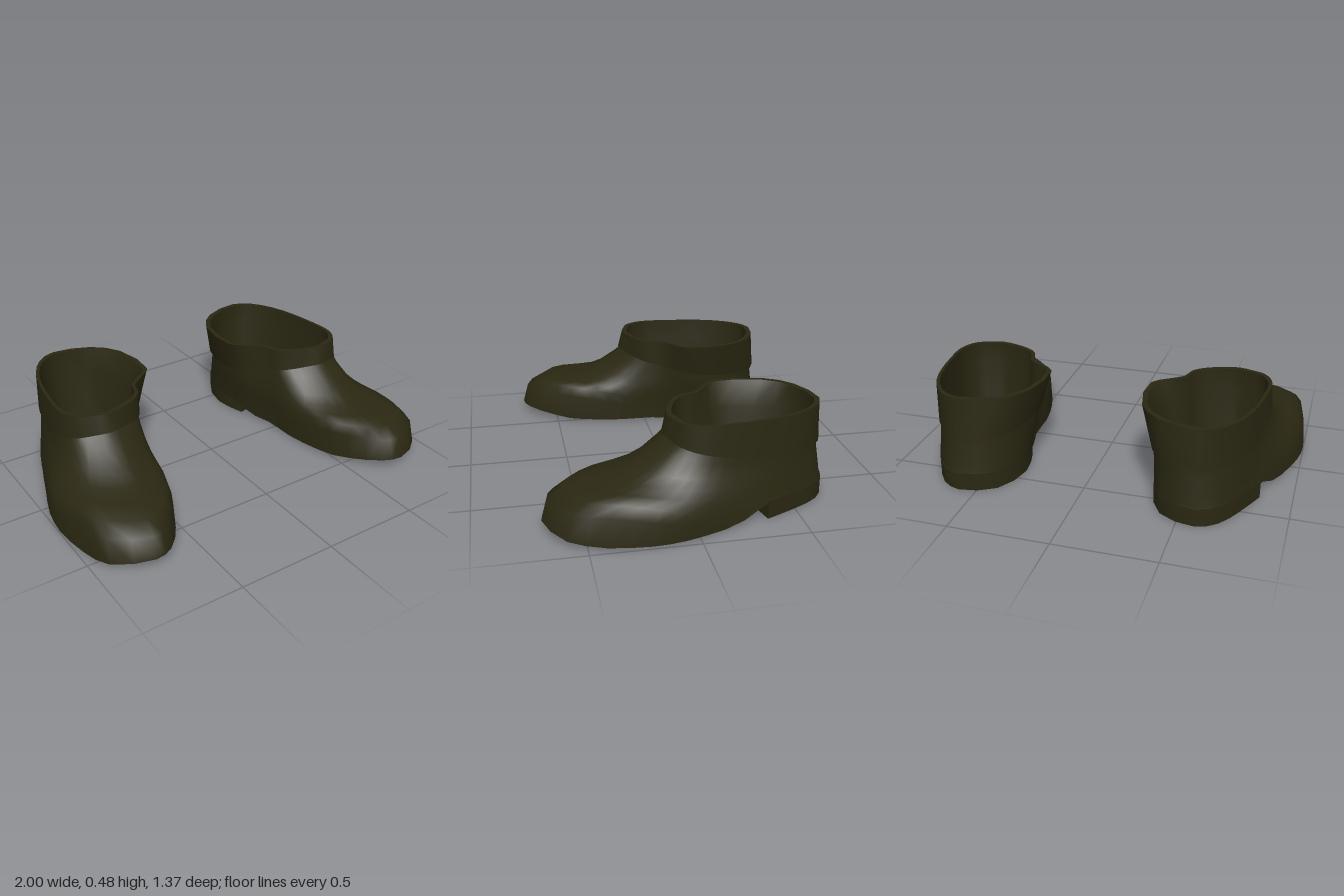
import * as THREE from 'three';
import { toCreasedNormals } from 'three/addons/utils/BufferGeometryUtils.js';

const N = 36; // points per ring: back -> outer side -> toe -> inner side
const CENTRE = [0.59, -0.28];

// Plan outlines as [x, z], all with matching point order
const SOLE = [[.59, -.685], [.69, -.63], [.77, -.5], [.85, -.32], [.92, -.12], [.98, .06],
  [1, .22], [.975, .42], [.93, .585], [.745, .685], [.65, .65], [.54, .51],
  [.47, .34], [.43, .14], [.425, -.04], [.37, -.24], [.335, -.42], [.41, -.62]];
const CUFF_LOW = [[.59, -.665], [.69, -.6], [.77, -.48], [.81, -.34], [.835, -.2], [.845, -.08],
  [.83, 0], [.79, .06], [.73, .09], [.65, .12], [.56, .09], [.48, .05],
  [.43, 0], [.41, -.06], [.37, -.13], [.305, -.22], [.31, -.42], [.41, -.62]];
const CUFF_TOP = [[.59, -.655], [.69, -.6], [.765, -.48], [.805, -.34], [.825, -.2], [.835, -.08],
  [.82, -.01], [.78, .05], [.72, .075], [.65, .095], [.56, .075], [.48, .04],
  [.425, -.01], [.4, -.09], [.33, -.145], [.26, -.21], [.28, -.47], [.39, -.6]];

const smooth = THREE.MathUtils.smoothstep;
const lerp = THREE.MathUtils.lerp;

// Smooth closed outline, optionally scaled about the ankle centre
function outline(points, scale = 1) {
  const curve = new THREE.CatmullRomCurve3(points.map(([x, z]) => new THREE.Vector3(
    CENTRE[0] + (x - CENTRE[0]) * scale, 0, CENTRE[1] + (z - CENTRE[1]) * scale)), true);
  return Array.from({ length: N }, (_, i) => curve.getPoint(i / N));
}

// Give an outline its heights, from a number or a rule
const raise = (ring, y) => ring.map(p =>
  new THREE.Vector3(p.x, typeof y === 'number' ? y : y(p.z), p.z));

function build(points, triangles, side) {
  const geo = new THREE.BufferGeometry();
  geo.setAttribute('position', new THREE.Float32BufferAttribute(
    points.flatMap(p => [p.x * side, p.y, p.z]), 3));
  geo.setIndex(triangles.flatMap(([a, b, c]) => (side > 0 ? [a, b, c] : [a, c, b])));
  geo.computeVertexNormals();
  return geo;
}

// Skin between successive rings
function loft(rings, side) {
  const triangles = [];
  for (let k = 0; k < rings.length - 1; k++) {
    for (let j = 0; j < N; j++) {
      const a = k * N + j, b = k * N + (j + 1) % N;
      triangles.push([a, a + N, b], [b, a + N, b + N]);
    }
  }
  return build(rings.flat(), triangles, side);
}

// Close a ring with strips running across it
function cap(ring, side, up) {
  const triangles = [];
  for (let i = 0; i < N / 2; i++) {
    const p = i, p2 = i + 1, q = (N - i) % N, q2 = N - i - 1;
    if (q !== p) triangles.push(up ? [q, q2, p] : [q, p, q2]);
    if (q2 !== p2) triangles.push(up ? [p, q2, p2] : [p, p2, q2]);
  }
  return build(ring, triangles, side);
}

// Underside height: raised arch and heel seat, flat forepart, toe spring
const soleY = z => 0.012 + 0.063 * (1 - smooth(z, -0.33, -0.16))
  + 0.038 * Math.max(0, (z - 0.42) / 0.265);
// Lower edge of the cuff climbs towards the front
const cuffY = z => 0.28 + 0.11 * Math.max(0, (z + 0.66) / 0.78) ** 2;

function createBoot(side, material) {
  const boot = new THREE.Group();
  const add = (name, geo) => {
    const mesh = new THREE.Mesh(geo, material);
    mesh.name = name;
    boot.add(mesh);
  };
  const sole = outline(SOLE);
  const collar = outline(CUFF_LOW, 0.95);
  const cuffLow = raise(outline(CUFF_LOW), cuffY);
  const cuffTop = raise(outline(CUFF_TOP), 0.48);

  // Upper: the sole outline shrinks to the collar, low over the toe, steep at the heel
  const shrink = [0.05, 0.18, 0.38, 0.55, 0.72, 0.9, 1];
  const toeY = [0.155, 0.2, 0.215, 0.232, 0.268, 0.34, 0.39];
  const heelY = [0.05, 0.1, 0.15, 0.19, 0.23, 0.28, 0.4];
  const base = raise(sole, soleY);
  const upper = shrink.map((f, k) => sole.map((p, i) => new THREE.Vector3(
    lerp(p.x, collar[i].x, f),
    Math.max(lerp(heelY[k], toeY[k], smooth(p.z, -0.3, 0.55)), base[i].y + 0.01),
    lerp(p.z, collar[i].z, f))));
  add('upper', loft([base, ...upper], side));
  add('sole', cap(base, side, false));

  // Heel block with a slanted front face
  const behind = p => p.z < -0.235 - (p.x - 0.36) * 0.234;
  const inner = [], outer = [];
  sole.forEach((p, i) => { if (behind(p)) (i > N / 2 ? inner : outer).push(p); });
  const shape = new THREE.Shape([
    new THREE.Vector2(side * 0.372, -0.238),
    ...[...inner, ...outer].map(p => new THREE.Vector2(side * p.x, p.z)),
    new THREE.Vector2(side * 0.842, -0.345)]);
  const heel = new THREE.ExtrudeGeometry(shape, { depth: 0.09, bevelEnabled: false });
  heel.rotateX(Math.PI / 2).translate(0, 0.09, 0);
  add('heel', toCreasedNormals(heel, 0.7));

  // Folded cuff: underside, outer wall and rim
  const rimInner = raise(outline(CUFF_TOP, 0.93), 0.48);
  add('cuffUnderside', loft([raise(collar, cuffY), cuffLow], side));
  add('cuff', loft([cuffLow, cuffTop], side));
  add('cuffRim', loft([cuffTop, rimInner], side));

  // Lining and footbed inside
  const footbed = raise(outline(CUFF_LOW, 0.82), 0.11);
  add('lining', loft([rimInner, raise(outline(CUFF_LOW, 0.9), 0.36), footbed], side));
  add('footbed', cap(footbed, side, true));
  return boot;
}

export function createModel() {
  const leather = new THREE.MeshStandardMaterial({ color: 0x2a2712 });
  leather.name = 'dark olive leather';
  const model = new THREE.Group();
  model.name = 'ankleBoots';
  for (const [name, side] of [['leftBoot', 1], ['rightBoot', -1]]) {
    const boot = createBoot(side, leather);
    boot.name = name;
    model.add(boot);
  }
  return model;
}
